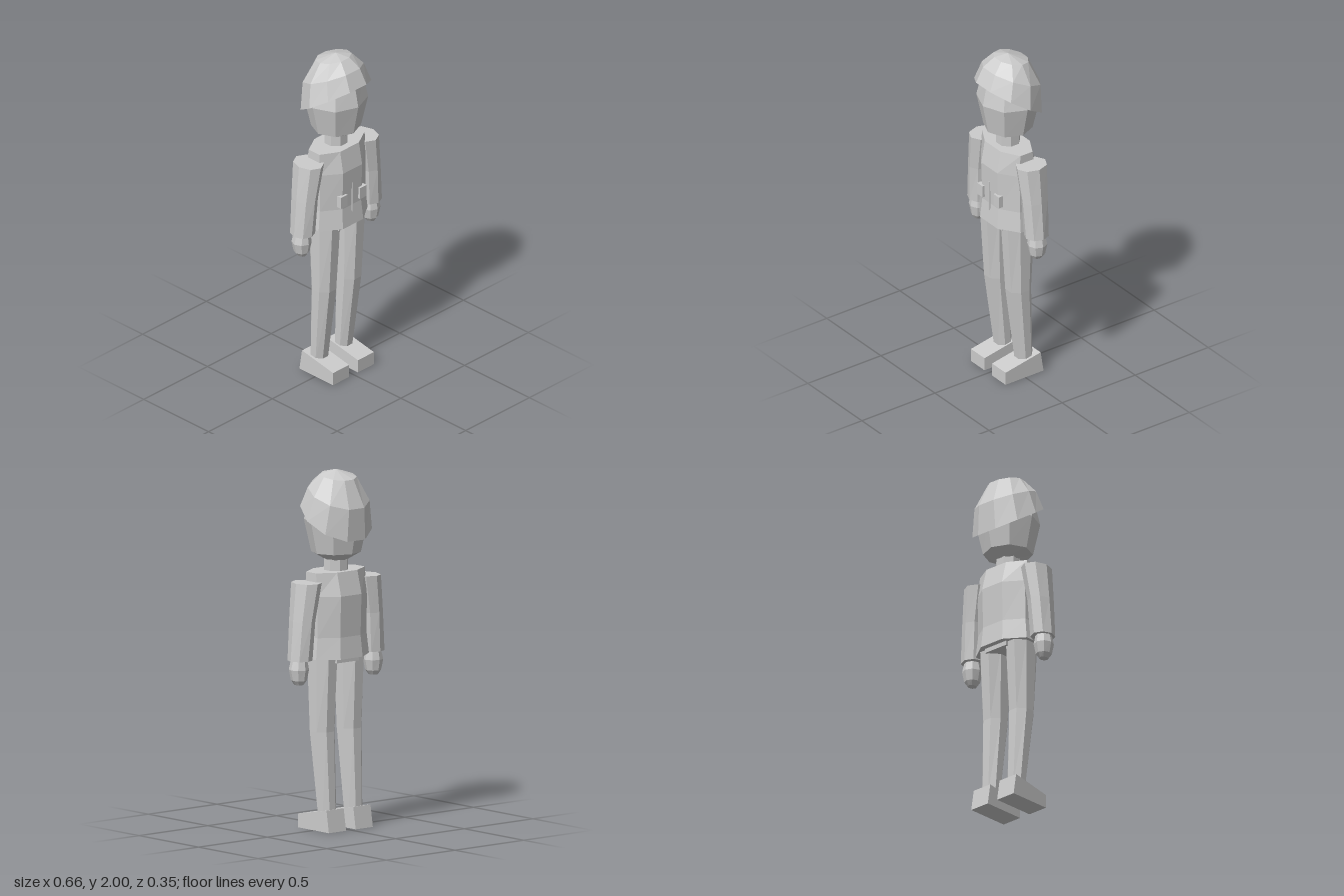
import * as THREE from 'three';

const grey = new THREE.MeshStandardMaterial({ color: 0xcccccc });
grey.name = 'plain grey';
grey.flatShading = true;

// Closed loft through elliptical rings, listed bottom to top.
// ring = [y, centreX, centreZ, radiusX, radiusZ, slope of y along z]
function loft(name, sides, phase, rings, apexY) {
  const pos = [], idx = [];
  for (const [y, cx, cz, rx, rz, slope = 0] of rings) {
    for (let i = 0; i < sides; i++) {
      const a = ((i + phase) / sides) * Math.PI * 2;
      const z = cz + Math.cos(a) * rz;
      pos.push(cx + Math.sin(a) * rx, y + slope * z, z);
    }
  }
  const first = rings[0], last = rings[rings.length - 1], n = rings.length;
  const bottom = n * sides, top = bottom + 1;
  pos.push(first[1], first[0] + (first[5] || 0) * first[2], first[2]);
  pos.push(last[1], apexY ?? last[0], apexY ? 0 : last[2]);
  for (let i = 0; i < sides; i++) {
    const j = (i + 1) % sides;
    for (let r = 0; r < n - 1; r++) {
      const a = r * sides + i, b = r * sides + j;
      idx.push(a, b, b + sides, a, b + sides, a + sides);
    }
    idx.push(bottom, j, i, top, (n - 1) * sides + i, (n - 1) * sides + j);
  }
  const geo = new THREE.BufferGeometry();
  geo.setAttribute('position', new THREE.Float32BufferAttribute(pos, 3));
  geo.setIndex(idx);
  const flat = geo.toNonIndexed();
  flat.computeVertexNormals();
  return named(name, flat);
}

function named(name, geo) {
  const mesh = new THREE.Mesh(geo, grey);
  mesh.name = name;
  return mesh;
}

function box(name, w, h, d, x, y, z) {
  const mesh = named(name, new THREE.BoxGeometry(w, h, d));
  mesh.position.set(x, y, z);
  return mesh;
}

// Wedge shoe: side profile extruded across the foot
function shoe(name, x) {
  const s = new THREE.Shape([
    [-0.135, 0], [0.125, 0], [0.105, 0.123], [-0.135, 0.077],
  ].map(([a, b]) => new THREE.Vector2(a, b)));
  const geo = new THREE.ExtrudeGeometry(s, { depth: 0.125, bevelEnabled: false });
  geo.translate(0, 0, -0.0625).rotateY(Math.PI / 2);
  const mesh = named(name, geo);
  mesh.position.x = x;
  return mesh;
}

export function createModel() {
  const model = new THREE.Group();
  model.name = 'figure';

  // Head, tilted hair cap and neck
  model.add(loft('head', 8, 0, [
    [1.5, 0, 0, 0.065, 0.07],
    [1.54, 0, 0, 0.14, 0.135],
    [1.72, 0, 0, 0.182, 0.172],
    [1.85, 0, 0, 0.15, 0.145],
  ]));
  model.add(loft('hair', 10, 0.5, [
    [1.73, 0, 0, 0.21, 0.18, 0.64],
    [1.873, 0, -0.022, 0.178, 0.16, 0.43],
    [1.97, 0, -0.02, 0.106, 0.095, 0.18],
  ], 2));
  model.add(loft('neck', 8, 0.5, [
    [1.42, 0, 0, 0.07, 0.068],
    [1.52, 0, 0, 0.07, 0.068],
  ]));

  // Jacket with zip and pockets
  model.add(loft('jacket', 8, 0.5, [
    [0.96, 0, 0, 0.208, 0.143],
    [1.08, 0, 0, 0.193, 0.131],
    [1.31, 0, 0, 0.194, 0.139],
    [1.44, 0, 0.005, 0.192, 0.108],
  ]));
  model.add(box('zip', 0.006, 0.18, 0.02, 0, 1.13, 0.12));
  model.add(box('pelvis', 0.16, 0.06, 0.2, 0, 0.965, 0));

  for (const s of [1, -1]) {
    const side = s > 0 ? 'left' : 'right';
    model.add(box(side + 'Pocket', 0.05, 0.07, 0.03, s * 0.075, 1.135, 0.122));

    // Arm and hand
    model.add(loft(side + 'Sleeve', 8, 0, [
      [0.96, s * 0.262, 0, 0.068, 0.07],
      [1.18, s * 0.246, 0, 0.066, 0.08],
      [1.39, s * 0.215, 0, 0.076, 0.095],
    ]));
    model.add(loft(side + 'Hand', 8, 0, [
      [0.825, s * 0.27, 0, 0.024, 0.028],
      [0.85, s * 0.27, 0, 0.043, 0.045],
      [0.91, s * 0.27, 0, 0.056, 0.056],
      [0.97, s * 0.268, 0, 0.043, 0.045],
    ]));

    // Leg and shoe
    model.add(loft(side + 'Leg', 8, 0.5, [
      [0.09, s * 0.095, -0.035, 0.054, 0.05],
      [0.55, s * 0.098, 0.003, 0.071, 0.074],
      [0.97, s * 0.097, 0.005, 0.081, 0.1],
    ]));
    model.add(shoe(side + 'Shoe', s * 0.0975));
  }
  return model;
}
